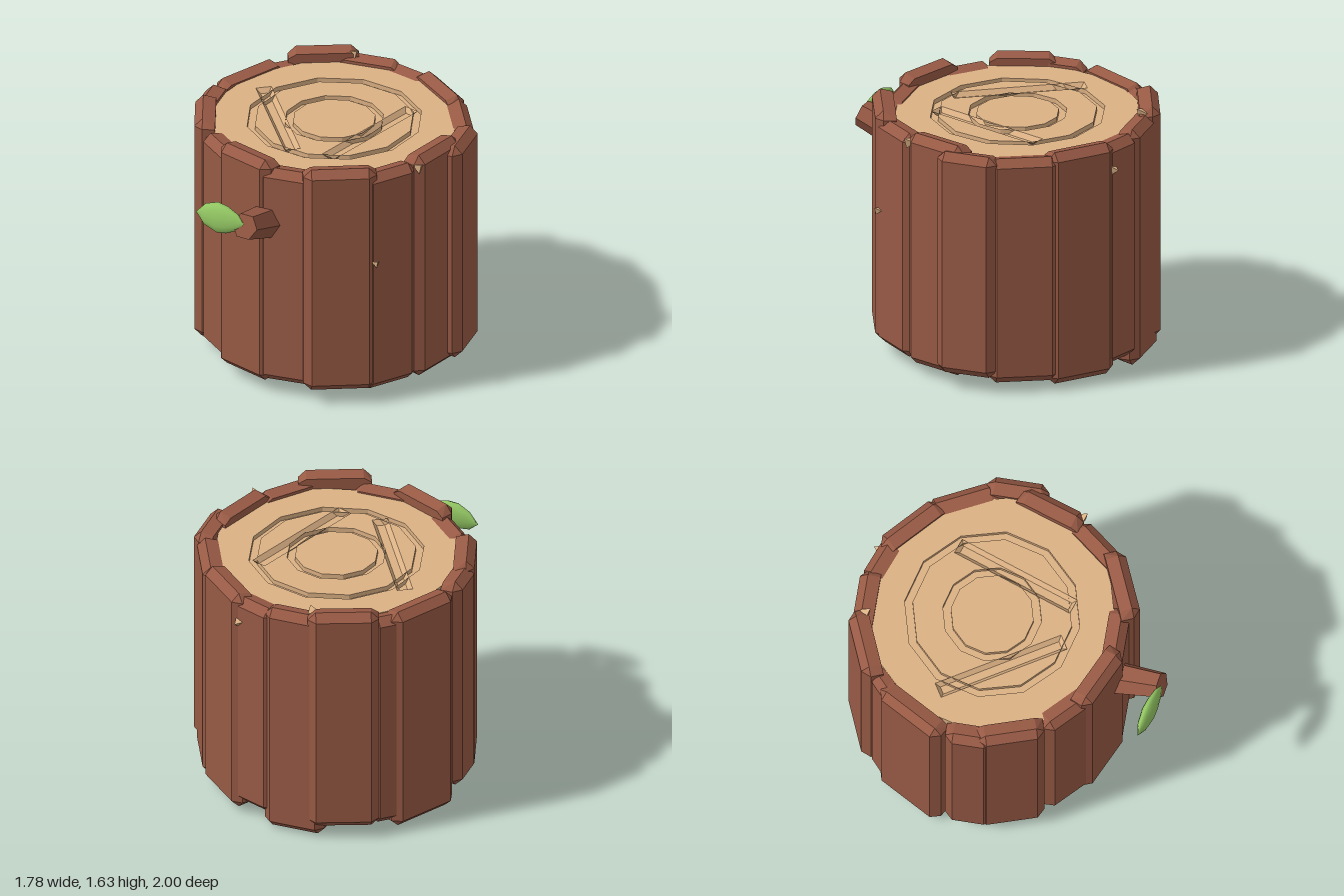
import * as THREE from 'three';
import { ConvexGeometry } from 'three/addons/geometries/ConvexGeometry.js';

const CX = -0.01, CZ = -0.13;      // trunk axis
const TOP = 1.54, FLOOR = 1.51, BOTTOM = 0.12;
const SIDES = 12;

const mat = (name, color, side = THREE.FrontSide, flatShading = true) => {
  const m = new THREE.MeshStandardMaterial({ color, side, flatShading });
  m.name = name;
  return m;
};

// Plank with bevelled outer edges, ends and corners
function plankGeometry(w, h, d, c) {
  const pts = [];
  for (const sx of [-1, 1]) for (const sy of [-1, 1]) {
    const add = (x, y, z) => pts.push(new THREE.Vector3(sx * x, sy * y, z));
    const x = w / 2, y = h / 2;
    add(x - c, y - c, 0);
    add(x, y - c, -c);
    add(x - c, y, -c);
    add(x, y - c, -d);
    add(x - c, y - 0.02, -d);
  }
  return new ConvexGeometry(pts);
}

// Split a convex polygon by the line a-b; sign picks the side that is kept
function clip(poly, a, b, sign) {
  const dist = p => sign * ((b[0] - a[0]) * (p[1] - a[1]) - (b[1] - a[1]) * (p[0] - a[0]));
  const out = [];
  poly.forEach((p, i) => {
    const q = poly[(i + 1) % poly.length], dp = dist(p), dq = dist(q);
    if (dp >= 0) out.push(p);
    if (dp * dq < 0) {
      const t = dp / (dp - dq);
      out.push([p[0] + t * (q[0] - p[0]), p[1] + t * (q[1] - p[1])]);
    }
  });
  return out;
}

// Convex polygon minus a convex cutter, as a list of convex pieces
function subtract(poly, cutter) {
  const pieces = [];
  let rest = poly;
  cutter.forEach((a, i) => {
    const b = cutter[(i + 1) % cutter.length];
    const outside = clip(rest, a, b, -1);
    if (outside.length > 2) pieces.push(outside);
    rest = clip(rest, a, b, 1);
  });
  return pieces;
}

// Rectangle from p to q, shrunk by an inset, corners in a consistent turn
function rectangle([x0, z0], [x1, z1], width, inset) {
  const l = Math.hypot(x1 - x0, z1 - z0);
  const ux = (x1 - x0) / l, uz = (z1 - z0) / l, h = width / 2 - inset;
  const corner = (x, z, along, across) => [x + ux * along - uz * across, z + uz * along + ux * across];
  return [corner(x0, z0, inset, -h), corner(x1, z1, -inset, -h),
    corner(x1, z1, -inset, h), corner(x0, z0, inset, h)];
}

const ringPoint = (r, i) => {
  const a = i / SIDES * Math.PI * 2;
  return [CX + r * Math.sin(a), CZ + r * Math.cos(a)];
};

// Cut face with ring grooves and sloping scratches
function cutFaceGeometry(bands, scratches) {
  const pos = [];
  const tri = (...v) => v.forEach(p => pos.push(...p));
  const wall = (a, b, lowA = a, lowB = b) => {
    const A = [a[0], TOP, a[1]], B = [b[0], TOP, b[1]];
    const C = [lowB[0], FLOOR, lowB[1]], D = [lowA[0], FLOOR, lowA[1]];
    tri(A, B, C);
    tri(A, C, D);
  };
  const rims = scratches.map(s => rectangle(...s, 0));
  for (const [r0, r1] of bands) for (let i = 0; i < SIDES; i++) {
    const inner = r0 ? [ringPoint(r0, i + 1), ringPoint(r0, i)] : [[CX, CZ]];
    let pieces = [[ringPoint(r1, i), ringPoint(r1, i + 1), ...inner]];
    for (const s of rims) pieces = pieces.flatMap(p => subtract(p, s));
    for (const p of pieces) for (let k = 1; k < p.length - 1; k++) {
      tri(...[p[0], p[k], p[k + 1]].map(([x, z]) => [x, TOP, z]));
    }
    for (const r of [r0, r1]) if (r) wall(ringPoint(r, i), ringPoint(r, i + 1));
  }
  scratches.forEach((s, n) => {
    const low = rectangle(...s, 0.025);
    rims[n].forEach((p, i) => wall(p, rims[n][(i + 1) % 4], low[i], low[(i + 1) % 4]));
  });
  const g = new THREE.BufferGeometry();
  g.setAttribute('position', new THREE.Float32BufferAttribute(pos, 3));
  g.computeVertexNormals();
  return g;
}

export function createModel() {
  const model = new THREE.Group();
  const bark = mat('bark brown', 0x985a45, THREE.DoubleSide);
  const wood = mat('cut wood tan', 0xdcb184, THREE.DoubleSide);
  const green = mat('leaf green', 0x93c763, THREE.FrontSide, false);
  const add = (name, geometry, material, parent = model) => {
    const m = new THREE.Mesh(geometry, material);
    m.name = name;
    parent.add(m);
    return m;
  };

  // Bark planks: outer face from (x0, z0) to (x1, z1), then bottom and top
  const planks = [
    [0.11, 0.79, 0.53, 0.61, 0.09, 1.63],
    [0.47, 0.64, 0.71, 0.34, 0.08, 1.58],
    [0.72, 0.35, 0.86, -0.06, 0.07, 1.61],
    [0.89, 0.09, 0.89, -0.30, 0.10, 1.58],
    [0.87, -0.26, 0.67, -0.66, 0.06, 1.56],
    [0.70, -0.61, 0.36, -0.92, 0.03, 1.58],
    [0.40, -0.87, 0.11, -0.98, 0.08, 1.56],
    [0.16, -0.98, -0.24, -0.98, 0.00, 1.58],
    [-0.16, -1.02, -0.57, -0.85, 0.07, 1.62],
    [-0.52, -0.83, -0.70, -0.67, 0.06, 1.55],
    [-0.65, -0.76, -0.89, -0.34, 0.02, 1.57],
    [-0.89, -0.29, -0.89, 0.01, 0.10, 1.58],
    [-0.90, -0.07, -0.77, 0.33, 0.09, 1.61],
    [-0.73, 0.34, -0.47, 0.59, 0.10, 1.56],
    [-0.55, 0.56, -0.16, 0.74, 0.08, 1.62],
    [-0.23, 0.715, 0.16, 0.715, 0.09, 1.57],
  ];
  const barkGroup = new THREE.Group();
  barkGroup.name = 'bark';
  model.add(barkGroup);
  for (const [x0, z0, x1, z1, y0, y1] of planks) {
    const dx = x1 - x0, dz = z1 - z0;
    const p = add('barkPlank', plankGeometry(Math.hypot(dx, dz), y1 - y0, 0.13, 0.05), bark, barkGroup);
    p.position.set((x0 + x1) / 2, (y0 + y1) / 2, (z0 + z1) / 2);
    const side = Math.sign(dz * (p.position.x - CX) - dx * (p.position.z - CZ));
    p.rotation.y = Math.atan2(dz * side, -dx * side);
  }

  // Wooden core and its grooved cut face
  const core = add('core', new THREE.CylinderGeometry(0.78, 0.78, FLOOR - BOTTOM, SIDES), wood);
  core.position.set(CX, (FLOOR + BOTTOM) / 2, CZ);
  add('cutFace', cutFaceGeometry([[0, 0.26], [0.31, 0.5], [0.55, 0.78]], [
    [[-0.56, -0.38], [-0.12, 0.34], 0.1],
    [[0.40, -0.41], [0.12, 0.36], 0.1],
  ]), wood);

  // Rings on the underside
  for (const r of [0.31, 0.55]) {
    const profile = [[r, 0.02], [r - 0.01, 0], [r - 0.04, 0], [r - 0.05, 0.02]];
    const ring = add('undersideRing',
      new THREE.LatheGeometry(profile.map(([x, y]) => new THREE.Vector2(x, y)), SIDES), bark);
    ring.position.set(CX, BOTTOM - 0.02, CZ);
  }

  // Bare wood chips at the rim and along the seams
  for (const [x, y, z, s] of [[0.705, 1.55, 0.325, 0.045], [-0.145, 1.59, -0.9, 0.045],
    [0.35, 1.4, -0.9, 0.035], [0.52, 0.98, 0.6, 0.03]]) {
    const chip = add('woodChip', new THREE.TetrahedronGeometry(s, 0), wood);
    chip.position.set(x, y, z);
    chip.rotation.set(0.3, 0.6, 0.5);
  }

  // Branch stub
  const from = new THREE.Vector3(-0.165, 1.17, 0.6), to = new THREE.Vector3(-0.215, 1.295, 0.97);
  const dir = to.clone().sub(from);
  const branch = add('branch',
    new THREE.CylinderGeometry(0.085, 0.115, dir.length(), 6).rotateY(0.35), bark);
  branch.position.copy(from).add(to).multiplyScalar(0.5);
  branch.quaternion.setFromUnitVectors(new THREE.Vector3(0, 1, 0), dir.normalize());

  // Leaf: a flattened spindle with pointed ends
  const outline = [[0, -0.18], [0.055, -0.13], [0.09, -0.05], [0.1, 0.02], [0.07, 0.11], [0, 0.18]];
  const leaf = add('leaf', new THREE.LatheGeometry(outline.map(([x, y]) => new THREE.Vector2(x, y)), 12), green);
  leaf.geometry.scale(1, 1, 0.38).rotateZ(Math.PI / 2);
  leaf.position.set(-0.395, 1.3, 0.92);
  leaf.rotation.set(-0.15, -0.27, 0);

  return model;
}
